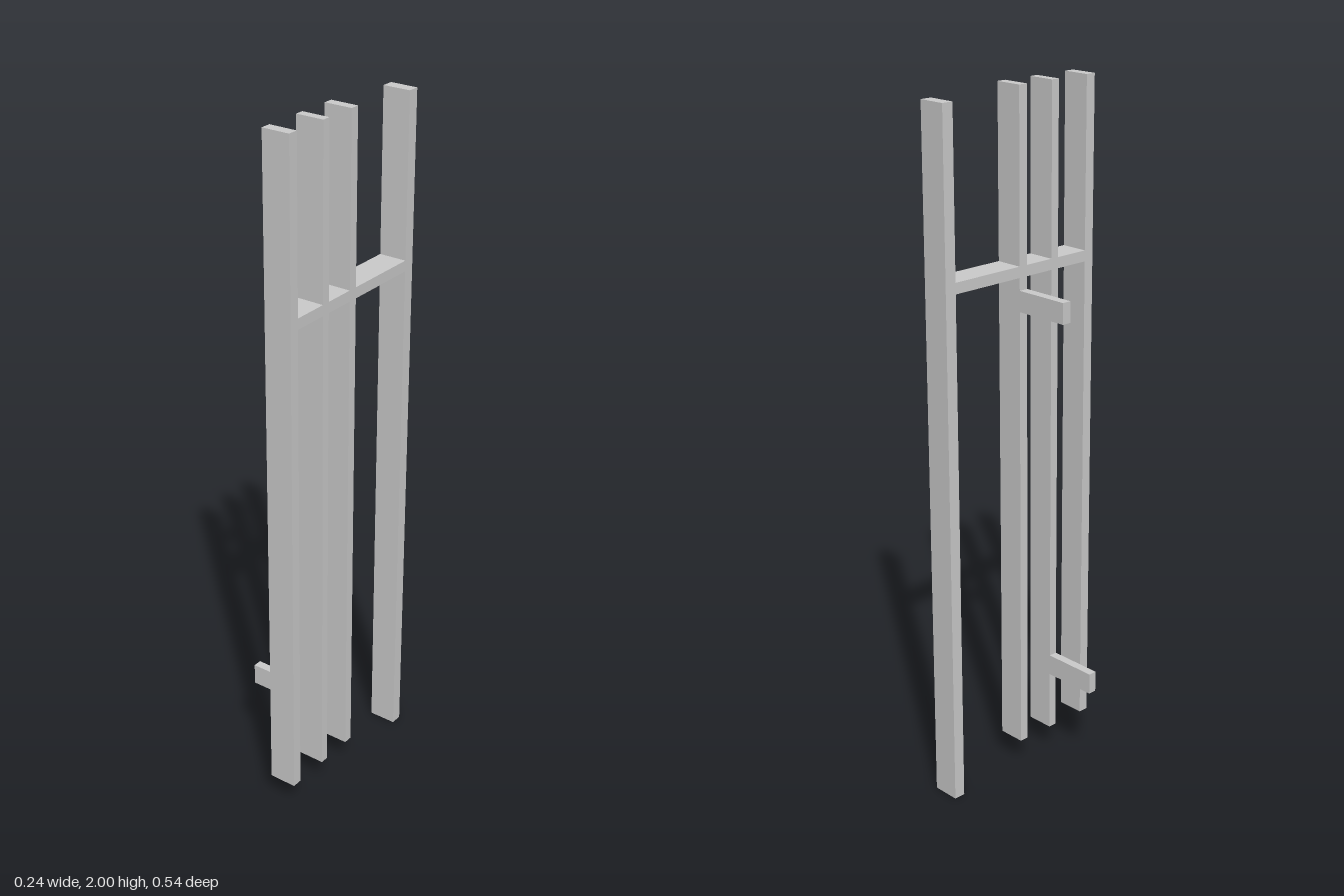
import * as THREE from 'three';

const X0 = 0.041, X1 = 0.122; // shared width of slats and rail

export function createModel() {
  const group = new THREE.Group();
  const material = new THREE.MeshStandardMaterial({ color: 0xcccccc, flatShading: true });

  // Box given by its extents on each axis
  const bar = (name, [x0, x1], [y0, y1], [z0, z1]) => {
    const mesh = new THREE.Mesh(new THREE.BoxGeometry(x1 - x0, y1 - y0, z1 - z0), material);
    mesh.position.set((x0 + x1) / 2, (y0 + y1) / 2, (z0 + z1) / 2);
    mesh.name = name;
    group.add(mesh);
  };

  // Upright slats, front to back; the rear one sits slightly lower
  const slats = [
    { name: 'frontSlat', y: [0.082, 2], z: [0.238, 0.268] },
    { name: 'secondSlat', y: [0.082, 2], z: [0.109, 0.134] },
    { name: 'thirdSlat', y: [0.082, 2], z: [-0.009, 0.018] },
    { name: 'rearSlat', y: [0, 1.984], z: [-0.27, -0.236] },
  ];
  slats.forEach((s) => bar(s.name, [X0, X1], s.y, s.z));

  // Cross rail: one piece in each gap between neighbouring slats
  for (let i = 0; i < slats.length - 1; i++) {
    bar(`crossRail${i + 1}`, [X0, X1], [1.492, 1.523], [slats[i + 1].z[1], slats[i].z[0]]);
  }

  // Side brackets, as thick as the slats they join
  bar('upperBracket', [-0.122, X0], [1.398, 1.457], slats[2].z);
  bar('lowerBracket', [-0.122, X0], [0.26, 0.322], slats[1].z);

  return group;
}
